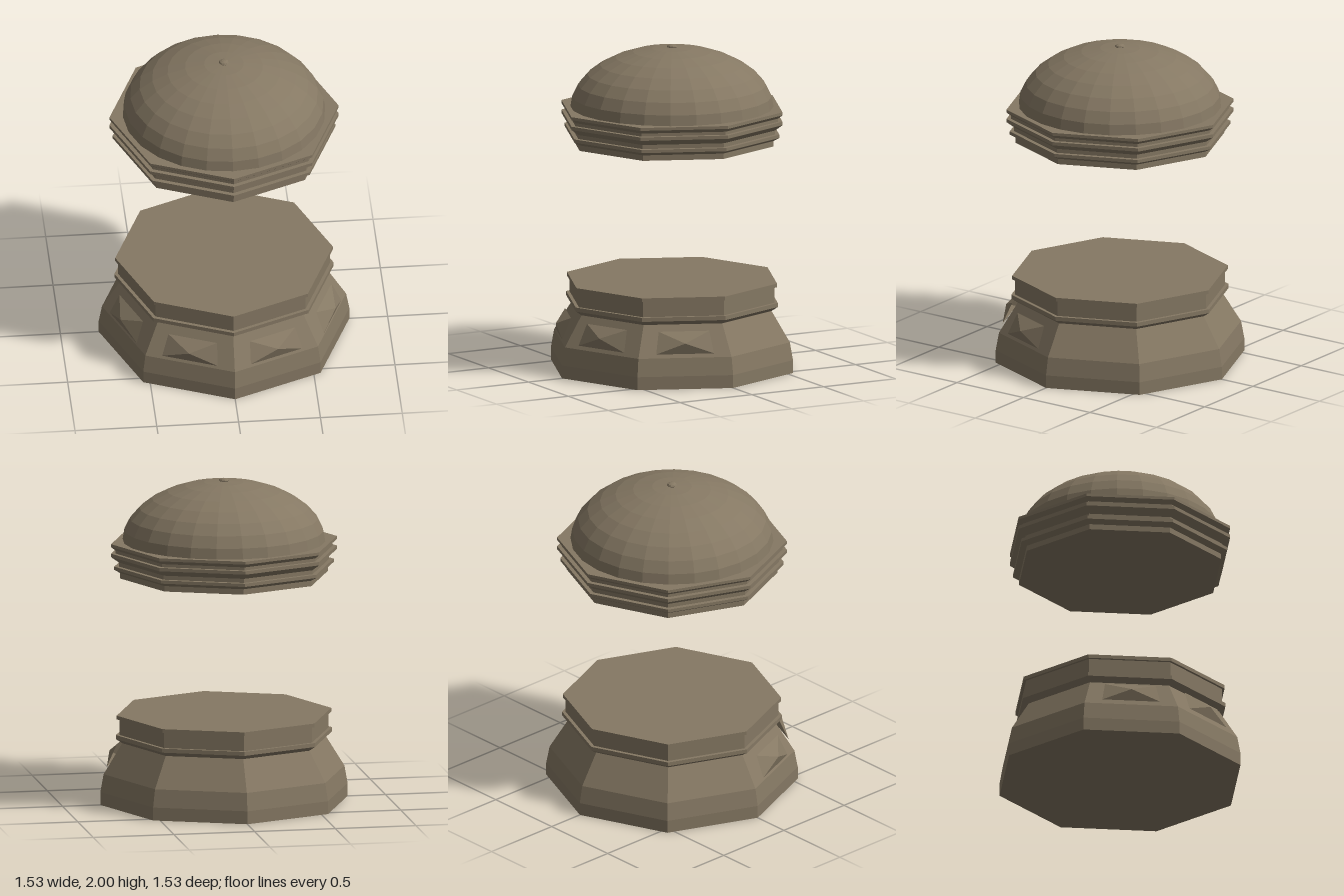
import * as THREE from 'three';

const stone = new THREE.MeshStandardMaterial({ color: 0x857863, flatShading: true, side: THREE.DoubleSide });
stone.name = 'weathered stone';

// Turned solid from [radius, height] pairs, listed bottom to top
function turned(name, profile, sides) {
  const points = profile.map(([r, y]) => new THREE.Vector2(r, y));
  const mesh = new THREE.Mesh(new THREE.LatheGeometry(points, sides), stone);
  mesh.name = name;
  return mesh;
}

// Raised pyramid panel, facing +z before it is turned to its wall
function panelGeometry() {
  const bl = [-0.177, 0.215, 0.692], br = [0.177, 0.215, 0.692];
  const tl = [-0.155, 0.345, 0.637], tr = [0.155, 0.345, 0.637];
  const apex = [0, 0.283, 0.712];
  const triangles = [bl, br, apex, br, tr, apex, tr, tl, apex, tl, bl, apex];
  const geometry = new THREE.BufferGeometry();
  geometry.setAttribute('position', new THREE.Float32BufferAttribute(triangles.flat(), 3));
  geometry.computeVertexNormals();
  return geometry;
}

export function createModel() {
  const model = new THREE.Group();
  model.name = 'octagonal pavilion parts';

  // Octagonal plinth with flared foot and moulded rim
  model.add(turned('plinth', [
    [0, 0], [0.766, 0], [0.766, 0.08], [0.746, 0.19], [0.63, 0.378],
    [0.67, 0.405], [0.67, 0.43], [0.648, 0.43], [0.648, 0.527],
    [0.665, 0.527], [0.665, 0.55], [0, 0.55],
  ], 8));

  // Panels on the four front-facing walls
  const panel = panelGeometry();
  for (const degrees of [-67.5, -22.5, 22.5, 67.5]) {
    const mesh = new THREE.Mesh(panel, stone);
    mesh.name = 'pyramidPanel';
    mesh.rotation.y = THREE.MathUtils.degToRad(degrees);
    model.add(mesh);
  }

  // Octagonal cornice with stepped mouldings
  model.add(turned('cornice', [
    [0, 1.4], [0.643, 1.4], [0.643, 1.434], [0.68, 1.455], [0.68, 1.475],
    [0.652, 1.475], [0.652, 1.5], [0.7, 1.535], [0.7, 1.556],
    [0.672, 1.556], [0.672, 1.575], [0.7, 1.597], [0.7, 1.615], [0, 1.615],
  ], 8));

  // Faceted low dome
  const domeProfile = [];
  for (let i = 0; i <= 8; i++) {
    const a = (i / 8) * Math.PI / 2;
    domeProfile.push([0.62 * Math.cos(a), 1.605 + 0.378 * Math.sin(a)]);
  }
  model.add(turned('dome', domeProfile, 24));

  // Small knob at the crown
  model.add(turned('finial', [
    [0.022, 1.975], [0.031, 1.985], [0.026, 1.994], [0.013, 1.999], [0, 2],
  ], 10));

  return model;
}
